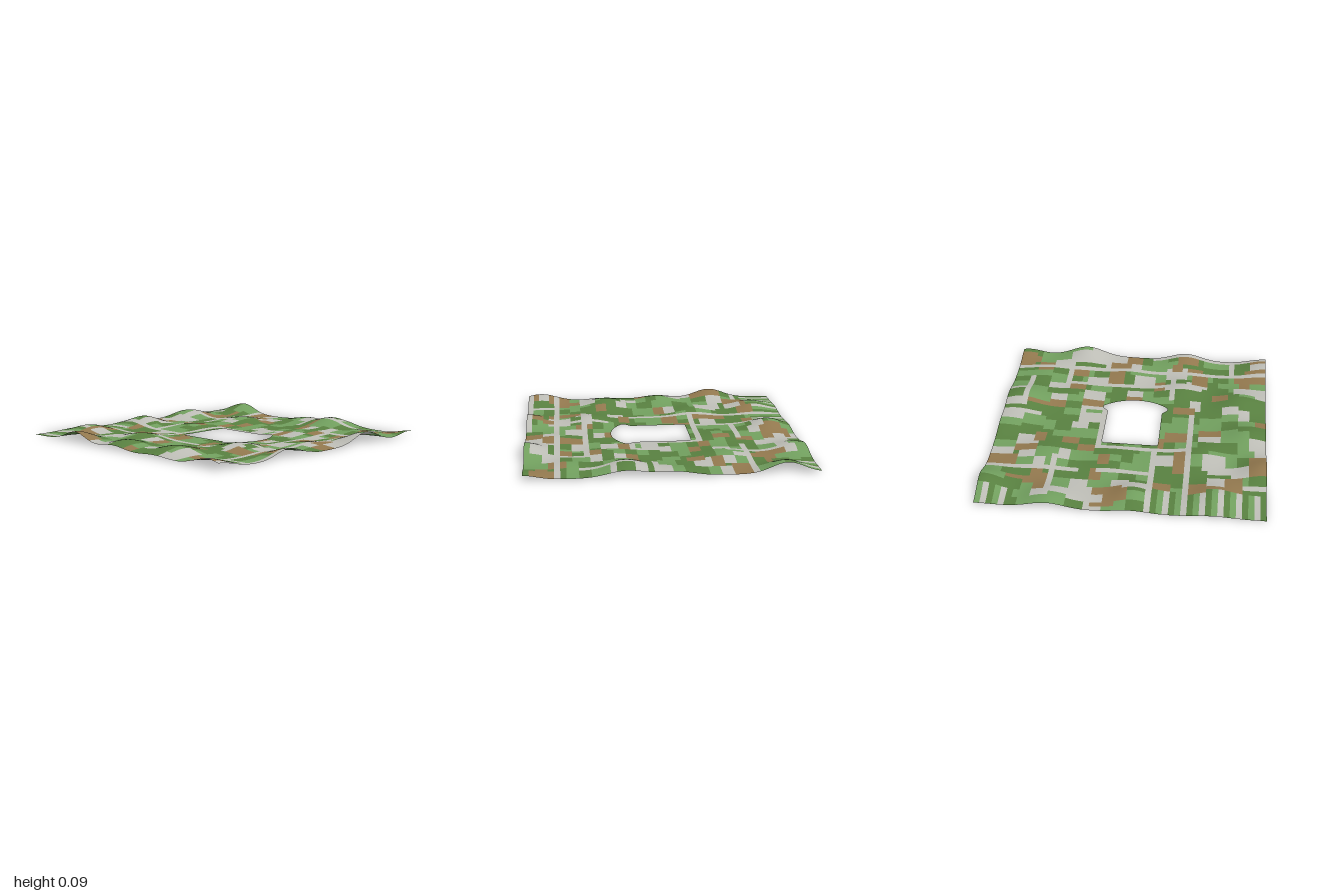
import * as THREE from 'three';

const TILES = 48, SUB = 4;            // colour tiles per side, quads per tile
const N = TILES * SUB;
const [LIGHT, DARK, EARTH, PAVED] = [0, 1, 2, 3];

// Small seeded generator for the patchwork
let seed;
const rnd = () => {
  seed = (seed * 1664525 + 1013904223) % 4294967296;
  return seed / 4294967296;
};

// Hills: x, z, height, radius
const HILLS = [
  [-1, 0.9, 0.062, 0.13], [-0.64, -0.8, 0.058, 0.12], [-0.8, 0.38, 0.06, 0.13],
  [-0.87, -0.06, 0.055, 0.12], [-0.35, 1, 0.064, 0.12], [-0.08, -0.83, 0.068, 0.11],
  [-0.35, 0.53, 0.045, 0.12], [-0.55, -0.3, 0.04, 0.12], [0.1, 0.78, 0.025, 0.12],
  [0.46, 1, 0.088, 0.13], [0.95, 1, 0.04, 0.1], [0.88, 0.31, 0.076, 0.13],
  [0.95, -0.02, 0.035, 0.12], [0.97, -0.77, 0.078, 0.11], [0.5, -0.92, 0.055, 0.12],
  [0.6, -0.4, 0.035, 0.13], [0.5, 0.4, 0.025, 0.13], [-0.98, -0.5, 0.076, 0.12],
  [0.12, -0.45, 0.025, 0.12], [0.75, 0.7, 0.03, 0.12],
];
const height = (x, z) => HILLS.reduce((y, [hx, hz, h, r]) =>
  y + h * Math.exp(-((x - hx) ** 2 + (z - hz) ** 2) / (2 * r * r)), 0);

// Central opening: rounded rectangle at the back, flared arc at the front
function openingOutline() {
  const s = new THREE.Shape();
  s.moveTo(0.208, 0.208);
  s.lineTo(0.26, 0.26);
  s.absarc(0, 0, 0.368, Math.PI / 4, Math.PI * 0.75, false);
  s.lineTo(-0.208, 0.208);
  s.lineTo(-0.208, -0.195);
  s.quadraticCurveTo(-0.208, -0.212, -0.19, -0.212);
  s.lineTo(0.19, -0.212);
  s.quadraticCurveTo(0.208, -0.212, 0.208, -0.195);
  s.closePath();
  return s.getPoints(16);
}

function isInside(p, poly) {
  let inside = false;
  poly.forEach((a, i) => {
    const b = poly[(i + 1) % poly.length];
    if ((a.y > p.y) !== (b.y > p.y) &&
        p.x < a.x + (b.x - a.x) * (p.y - a.y) / (b.y - a.y)) inside = !inside;
  });
  return inside;
}

function nearestOnOutline(p, poly) {
  let best = p, bestD = Infinity;
  poly.forEach((a, i) => {
    const d = poly[(i + 1) % poly.length].clone().sub(a);
    if (d.lengthSq() === 0) return;
    const t = THREE.MathUtils.clamp(p.clone().sub(a).dot(d) / d.lengthSq(), 0, 1);
    const q = a.clone().addScaledVector(d, t);
    if (q.distanceTo(p) < bestD) { best = q; bestD = q.distanceTo(p); }
  });
  return best;
}

// Paved strips and plots in tile units from the centre: x0, z0, x1, z1
const PAVING = [
  [-24, 18, 24, 19], [-13, 13, 13, 14], [8, -14, 24, -13], [-11, -7, 6, -6],
  [-11, -24, -10, 5], [-5, -17, -4, -7], [-5, -14, 5, -13], [5, -7, 6, 6],
  [-24, 23, -2, 24], [13, 11, 14, 19], [-7, 9, -6, 18], [20, 5, 21, 15],
  [17, 2, 24, 3], [-18, 19, -17, 24], [9, -1, 10, 5], [12, -20, 13, -10],
  [-24, -17, -20, -16], [-17, -17, -14, -14], [-17, -12, -13, -8], [-24, -6, -21, -3],
  [5, -22, 9, -18], [20, -10, 24, -8], [6, 5, 10, 6], [6, 8, 10, 11],
  [-23, 11, -18, 14], [7, 20, 14, 23], [6, 14, 10, 16], [-5, -19, -1, -17],
];
const EARTHS = [
  [-20, -18, -17, -14], [-14, -19, -11, -16], [-8, -18, -4, -16], [0, -20, 5, -18],
  [1, -23, 5, -22], [13, -20, 15, -15], [19, -13, 24, -10], [-10, -13, -8, -7],
  [3, -12, 5, -9], [15, -6, 17, -3], [6, 6, 10, 8], [-11, 5, -7, 7],
  [-17, 9, -14, 11], [-21, 11, -19, 17], [-13, 14, -10, 18], [-24, 16, -18, 18],
  [10, 11, 13, 14], [3, 14, 6, 18], [-8, 19, -6, 21], [-11, 21, -7, 24],
  [2, 19, 6, 21], [10, 16, 13, 18], [21, 19, 24, 23], [-6, -6, -5, -3],
];

function paintTiles() {
  const tiles = Array.from({ length: TILES }, () => new Array(TILES).fill(DARK));
  const fill = (x0, z0, x1, z1, c) => {
    for (let z = z0; z < z1; z++) for (let x = x0; x < x1; x++) tiles[z + 24][x + 24] = c;
  };
  // Fields: split the ground until the plots are small
  const split = (x0, z0, x1, z1) => {
    const w = x1 - x0, d = z1 - z0;
    if (w <= 4 && d <= 3) {
      const r = rnd();
      fill(x0, z0, x1, z1, r < 0.36 ? LIGHT : r < 0.8 ? DARK : r < 0.88 ? EARTH : PAVED);
    } else if (w > d) {
      const m = x0 + Math.round(w * (0.35 + 0.3 * rnd()));
      split(x0, z0, m, z1); split(m, z0, x1, z1);
    } else {
      const m = z0 + Math.round(d * (0.35 + 0.3 * rnd()));
      split(x0, z0, x1, m); split(x0, m, x1, z1);
    }
  };
  split(-24, -24, 24, 24);
  // Narrow striped plots along the back
  for (const [a, b, end] of [[-24, -11, -18], [-10, -4, -18], [18, 24, -20]])
    for (let x = a; x < b; x++) fill(x, -24, x + 1, end, [DARK, PAVED, LIGHT][(x + 24) % 3]);
  EARTHS.forEach(r => fill(...r, EARTH));
  PAVING.forEach(r => fill(...r, PAVED));
  return tiles;
}

export function createModel() {
  seed = 7;
  const group = new THREE.Group();
  group.name = 'terrain';
  const outline = openingOutline();
  const tiles = paintTiles();

  // Grid points, those inside the opening pulled to its rim
  const grid = [];
  let low = Infinity;
  for (let j = 0; j <= N; j++) for (let i = 0; i <= N; i++) {
    const p = new THREE.Vector2(i / N * 2 - 1, j / N * 2 - 1);
    const inside = p.length() < 0.4 && isInside(p, outline);
    const q = inside ? nearestOnOutline(p, outline) : p;
    const y = height(q.x, q.y), e = 0.004;
    low = Math.min(low, y);
    const normal = new THREE.Vector3(
      height(q.x - e, q.y) - height(q.x + e, q.y), 2 * e,
      height(q.x, q.y - e) - height(q.x, q.y + e)).normalize();
    grid.push({ inside, pos: new THREE.Vector3(q.x, y, q.y), normal });
  }
  grid.forEach(g => { g.pos.y += 0.003 - low; });

  // One mesh for each kind of ground
  const kinds = [
    ['lightFields', 0x719f5e], ['darkFields', 0x588040],
    ['earthPlots', 0x92784e], ['pavedRoads', 0xbdbdb6],
  ];
  const data = kinds.map(() => ({ pos: [], nor: [] }));
  for (let j = 0; j < N; j++) for (let i = 0; i < N; i++) {
    const k = j * (N + 1) + i;
    const a = grid[k], b = grid[k + 1], c = grid[k + N + 1], d = grid[k + N + 2];
    if ([a, b, c, d].every(g => g.inside)) continue;
    const out = data[tiles[Math.floor(j / SUB)][Math.floor(i / SUB)]];
    for (const g of [a, c, b, b, c, d]) {
      out.pos.push(...g.pos.toArray());
      out.nor.push(...g.normal.toArray());
    }
  }
  kinds.forEach(([name, color], n) => {
    const geo = new THREE.BufferGeometry();
    geo.setAttribute('position', new THREE.Float32BufferAttribute(data[n].pos, 3));
    geo.setAttribute('normal', new THREE.Float32BufferAttribute(data[n].nor, 3));
    const mesh = new THREE.Mesh(geo, new THREE.MeshStandardMaterial({ color, side: THREE.DoubleSide }));
    mesh.name = name;
    group.add(mesh);
  });
  return group;
}
